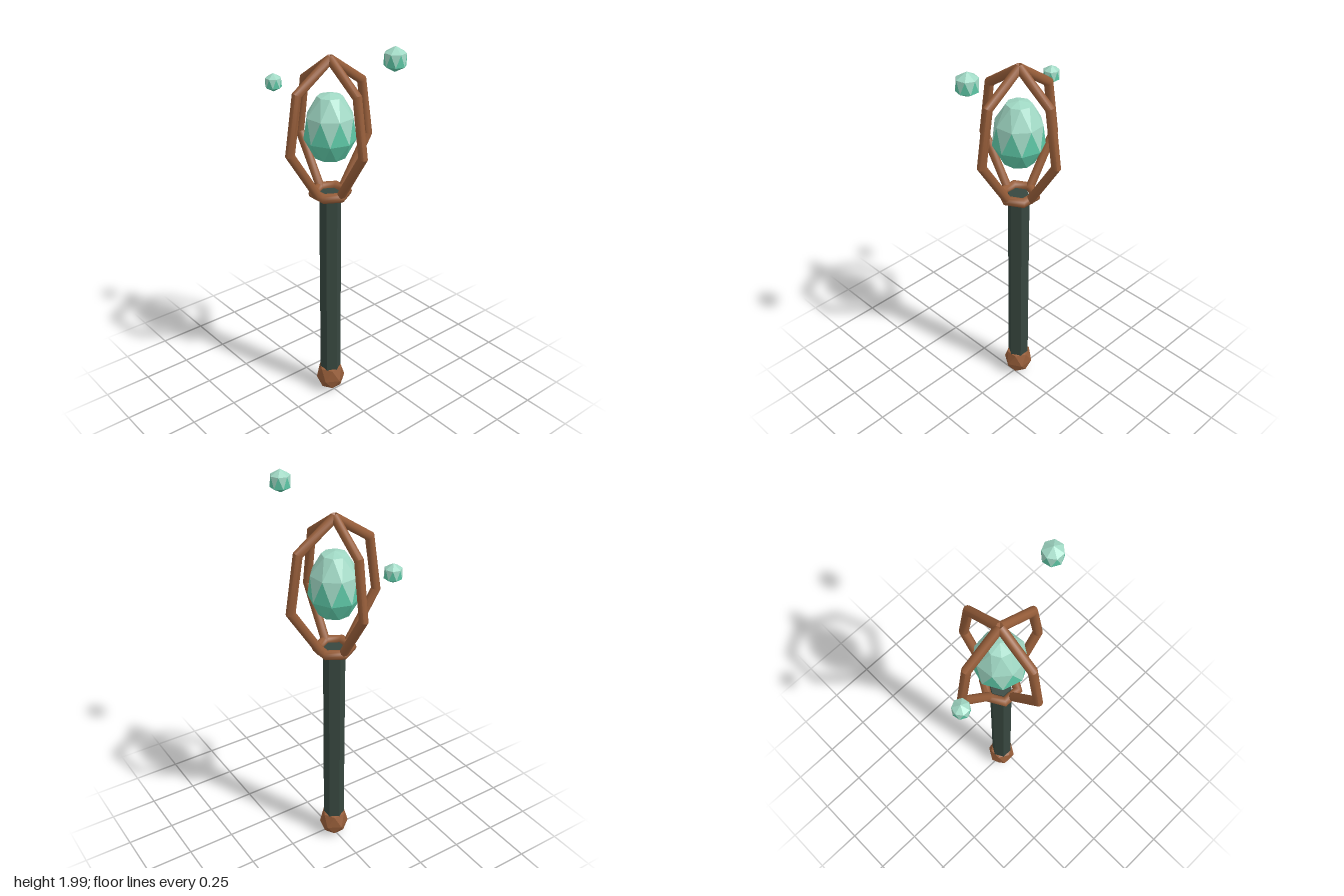
import * as THREE from 'three';
import { toCreasedNormals } from 'three/addons/utils/BufferGeometryUtils.js';

const mat = (name, color) => {
  const m = new THREE.MeshStandardMaterial({ color });
  m.name = name;
  return m;
};

const faceted = (geometry) => {
  const g = geometry.toNonIndexed();
  g.computeVertexNormals();
  return g;
};

// Closed faceted solid from rings [height, radius], alternate rings turned by half a step.
// Group 0 holds the faces above the zigzag in band `split`, group 1 those below it.
function facetedSolid(rings, sides, split, turn = 0) {
  const pos = [];
  const upper = [];
  const lower = [];
  rings.forEach(([y, r], j) => {
    for (let i = 0; i < sides; i++) {
      const a = turn + ((i + (j % 2) / 2) / sides) * Math.PI * 2;
      pos.push(r * Math.cos(a), y, -r * Math.sin(a));
    }
  });
  for (let j = 0; j < rings.length - 1; j++) {
    for (let i = 0; i < sides; i++) {
      const a = j * sides + i, b = j * sides + ((i + 1) % sides);
      const c = a + sides, d = b + sides;
      const down = j <= split ? upper : lower;
      const up = j < split ? upper : lower;
      if (j % 2) {
        down.push(a, d, b);
        up.push(a, c, d);
      } else {
        down.push(a, c, b);
        up.push(b, c, d);
      }
    }
  }
  const g = new THREE.BufferGeometry();
  g.setAttribute('position', new THREE.Float32BufferAttribute(pos, 3));
  g.setIndex([...upper, ...lower]);
  g.addGroup(0, upper.length, 0);
  g.addGroup(upper.length, lower.length, 1);
  return faceted(g);
}

// Round bar with mitred bends, following a path of [x, y] points
function mitredBar(points, radius, sides) {
  const p = points.map(([x, y]) => new THREE.Vector2(x, y));
  const dirs = p.slice(1).map((q, i) => q.clone().sub(p[i]).normalize());
  const pos = [];
  const idx = [];
  p.forEach((q, j) => {
    const d0 = dirs[Math.max(j - 1, 0)], d1 = dirs[Math.min(j, dirs.length - 1)];
    const t = d0.clone().add(d1).normalize();
    const w = radius / t.dot(d0);
    for (let i = 0; i < sides; i++) {
      const a = (i / sides) * Math.PI * 2;
      pos.push(q.x + t.y * w * Math.cos(a), q.y - t.x * w * Math.cos(a), radius * Math.sin(a));
    }
  });
  for (let j = 0; j < p.length - 1; j++) {
    for (let i = 0; i < sides; i++) {
      const a = j * sides + i, b = j * sides + ((i + 1) % sides);
      idx.push(a, a + sides, b, b, a + sides, b + sides);
    }
  }
  const end = (p.length - 1) * sides;
  for (let i = 1; i < sides - 1; i++) {
    idx.push(0, i, i + 1, end, end + i + 1, end + i);
  }
  const g = new THREE.BufferGeometry();
  g.setAttribute('position', new THREE.Float32BufferAttribute(pos, 3));
  g.setIndex(idx);
  return toCreasedNormals(g, 0.67);
}

export function createModel() {
  const bronze = mat('bronze', 0x965d39);
  const darkWood = mat('dark green wood', 0x37473f);
  const paleCrystal = mat('pale crystal', 0xa0d8c4);
  const deepCrystal = mat('deep crystal', 0x60ccaa);
  const crystal = [paleCrystal, deepCrystal];

  const model = new THREE.Group();
  model.name = 'staff';
  const add = (name, geometry, material, x, y, z, parent = model) => {
    const m = new THREE.Mesh(geometry, material);
    m.name = name;
    m.position.set(x, y, z);
    parent.add(m);
    return m;
  };
  const axis = -0.031;

  // Shaft: hexagonal pole with corners on x
  const shaft = new THREE.CylinderGeometry(0.055, 0.055, 1.09, 6);
  shaft.rotateY(Math.PI / 2);
  add('shaft', faceted(shaft), darkWood, axis, 0.655, 0);

  // Pommel
  add('pommel', facetedSolid(
    [[0.078, 0], [0.066, 0.062], [0, 0.077], [-0.05, 0.058], [-0.077, 0]], 6, 0),
    bronze, axis, 0.083, 0);

  // Collar: rounded hexagonal ring
  const collar = new THREE.TorusGeometry(0.084, 0.025, 10, 6);
  collar.rotateX(Math.PI / 2);
  add('collar', collar, bronze, axis, 1.2, 0);

  // Cage: four bent bars meeting at the top
  const cage = new THREE.Group();
  cage.name = 'cage';
  cage.position.x = axis;
  model.add(cage);
  const path = [[0.077, 1.2], [0.24, 1.455], [0.195, 1.737], [0, 1.872]];
  const bar = mitredBar(path, 0.0225, 10);
  for (let i = 0; i < 4; i++) {
    add('cageBar', bar, bronze, 0, 0, 0, cage).rotation.y = (i * Math.PI) / 2;
  }

  // Large crystal floating in the cage
  add('crystal', facetedSolid(
    [[0.17, 0], [0.155, 0.062], [0.06, 0.118], [-0.058, 0.128], [-0.148, 0.078], [-0.172, 0]],
    8, 2, 0.5), crystal, axis, 1.54, 0);

  // Two small floating shards
  const shard = (r) => facetedSolid(
    [[r, 0], [r * 0.5, r * 0.87], [-r * 0.5, r * 0.9], [-r, 0]], 7, 1, 0.2);
  add('shard', shard(0.057), crystal, 0.335, 1.943, -0.063);
  add('shard', shard(0.046), crystal, -0.349, 1.702, 0.096);

  return model;
}
